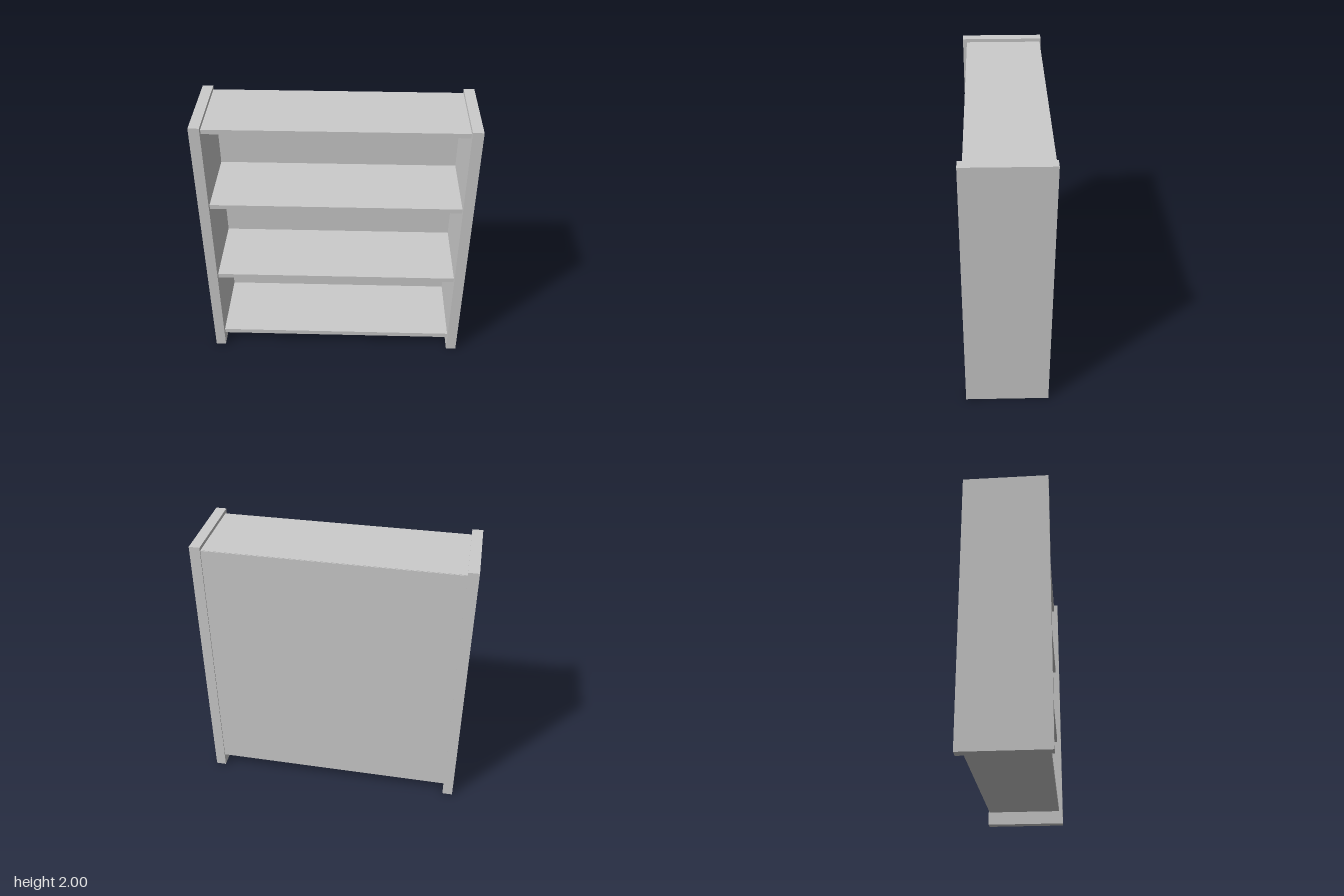
import * as THREE from 'three';

const material = new THREE.MeshStandardMaterial({ color: 0xcccccc, flatShading: true });

// Box given by its minimum and maximum corners
function board(name, min, max) {
  const size = max.map((v, i) => v - min[i]);
  const mesh = new THREE.Mesh(new THREE.BoxGeometry(...size), material);
  mesh.position.set(...min.map((v, i) => v + size[i] / 2));
  mesh.name = name;
  return mesh;
}

export function createModel() {
  const group = new THREE.Group();
  group.name = 'bookcase';
  const inner = 0.885, outer = 0.96;

  // Upright side panels
  group.add(board('leftSide', [inner, 0, -0.3], [outer, 2, 0.3]));
  group.add(board('rightSide', [-outer, 0, -0.3], [-inner, 2, 0.3]));

  // Bottom, two middle shelves and top, as [underside, upper face]
  const levels = [[0.1, 0.137], [0.688, 0.722], [1.332, 1.365], [1.942, 1.975]];
  const names = ['bottomShelf', 'lowerShelf', 'upperShelf', 'topShelf'];
  levels.forEach(([low, high], i) => {
    group.add(board(names[i], [-inner, low, -0.288], [inner, high, 0.27]));
  });

  // Thin back panel
  group.add(board('backPanel', [-inner, 0.102, -0.293], [inner, 1.973, -0.285]));

  return group;
}
